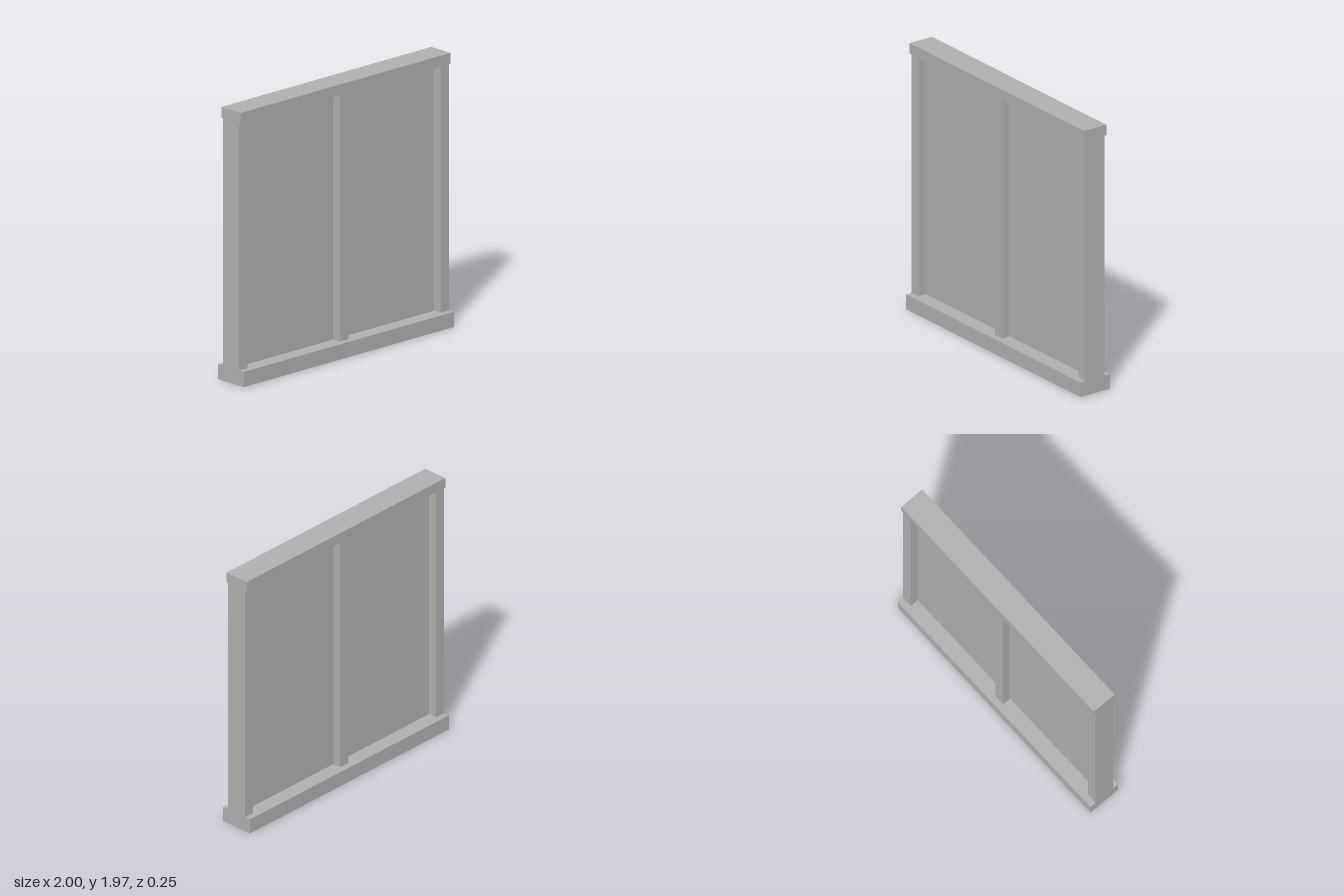
import * as THREE from 'three';

export function createModel() {
  const group = new THREE.Group();
  const grey = new THREE.MeshStandardMaterial({ color: 0xb0b0b0 });
  grey.name = 'grey';

  const baseTop = 0.11, capBottom = 1.89, top = 1.967;

  // Box spanning y0 to y1, centred on z = 0
  function addBox(name, width, depth, y0, y1, x = 0) {
    const mesh = new THREE.Mesh(new THREE.BoxGeometry(width, y1 - y0, depth), grey);
    mesh.name = name;
    mesh.position.set(x, (y0 + y1) / 2, 0);
    group.add(mesh);
  }

  // Rails along the bottom and top
  addBox('baseRail', 2, 0.254, 0, baseTop);
  addBox('capRail', 2, 0.192, capBottom, top);

  // Upright posts
  const posts = { rightPost: -0.96, middlePost: 0, leftPost: 0.96 };
  for (const [name, x] of Object.entries(posts)) {
    addBox(name, 0.08, 0.16, baseTop, capBottom, x);
  }

  // Thin infill panels between the posts
  addBox('rightPanel', 0.88, 0.03, baseTop, capBottom, -0.48);
  addBox('leftPanel', 0.88, 0.03, baseTop, capBottom, 0.48);

  return group;
}
